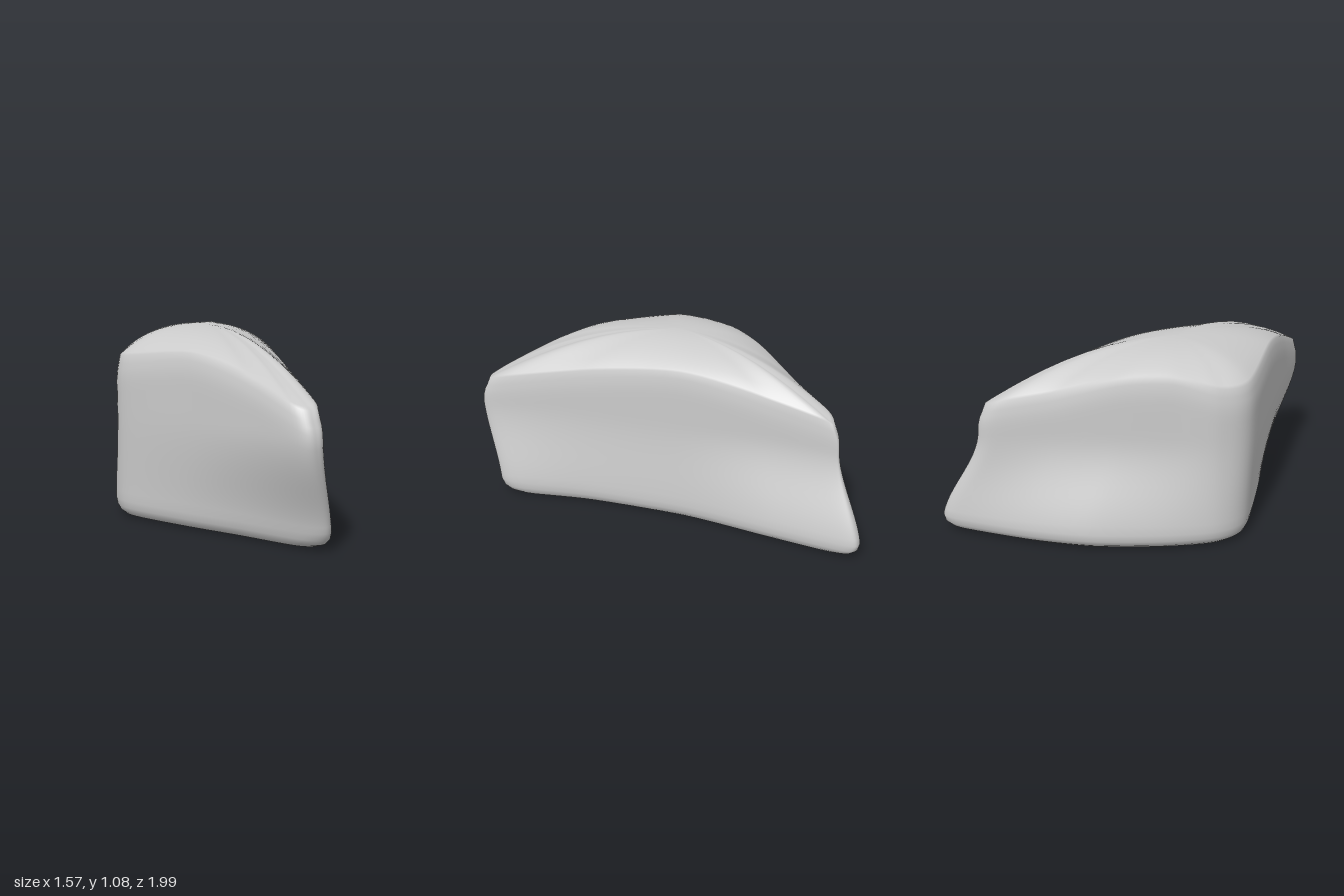
import * as THREE from 'three';

// Outline of the boulder: [foot x, foot z, shoulder x, shoulder z, shoulder height]
const OUTLINE = [
  [-0.60, -1.00, -0.60, -0.765, 0.75], // back corner
  [-0.66, -0.92, -0.64, -0.68, 0.78],
  [-0.75, -0.50, -0.64, -0.35, 0.85], // concave side
  [-0.78, -0.15, -0.645, 0.00, 0.95],
  [-0.74, 0.25, -0.64, 0.30, 0.97],
  [-0.66, 0.56, -0.625, 0.55, 0.90], // blunt front corner
  [-0.51, 0.71, -0.50, 0.72, 0.90],
  [-0.10, 0.775, 0.00, 0.835, 0.96], // front face
  [0.30, 0.81, 0.38, 0.92, 0.87],
  [0.66, 0.85, 0.69, 1.00, 0.74], // sharp front corner
  [0.775, 0.81, 0.775, 0.975, 0.72],
  [0.74, 0.71, 0.765, 0.88, 0.74],
  [0.42, 0.40, 0.40, 0.46, 0.86], // long slanted face
  [0.00, -0.11, 0.00, -0.03, 0.95],
  [-0.30, -0.59, -0.33, -0.42, 0.85],
  [-0.53, -0.95, -0.55, -0.72, 0.77],
];
const SIDES = 112;
const CENTRE = { x: -0.22, z: 0.28 };
const PEAK = 1.075;

const loop = (fn) => new THREE.CatmullRomCurve3(
  OUTLINE.map(fn), true, 'catmullrom', 0.4);

function boulderGeometry() {
  const foot = loop(([x, z]) => new THREE.Vector3(x, 0, z)).getPoints(SIDES);
  const shoulder = loop(([, , x, z, y]) => new THREE.Vector3(x, y, z)).getPoints(SIDES);
  const positions = [];
  const index = [];
  let rows = 0;

  // Adds one ring at a given inset towards the centre; height depends on the shoulder.
  // Heights are evened out along the ring, more so near the centre.
  const ring = (inset, height) => {
    let ys = shoulder.slice(0, SIDES).map((p) => height(p.y));
    for (let pass = 0; pass < inset * 40; pass++)
      ys = ys.map((y, i) => (ys.at(i - 1) + y + ys[(i + 1) % SIDES]) / 3);
    ys.forEach((y, i) => {
      const p = foot[i].clone().lerp(shoulder[i], THREE.MathUtils.smoothstep(y, 0.03, 0.62));
      positions.push(
        THREE.MathUtils.lerp(p.x, CENTRE.x, inset), y,
        THREE.MathUtils.lerp(p.z, CENTRE.z, inset));
    });
    rows++;
  };

  // Flat underside and rounded foot
  for (const [y, inset] of [[0, 1], [0, 0.5], [0, 0.14], [0.01, 0.085], [0.03, 0.04], [0.06, 0.012]])
    ring(inset, () => y);
  // Walls
  for (let j = 0; j <= 14; j++)
    ring(0, (rim) => 0.1 + (rim - 0.23) * j / 14);
  // Rounded shoulder
  for (const [drop, inset] of [[0.09, 0.004], [0.055, 0.012], [0.025, 0.024]])
    ring(inset, (rim) => rim - drop);
  // Domed top, fuller above the high shoulders than above the low corners
  for (const t of [0.042, 0.07, 0.1, 0.14, 0.2, 0.3, 0.4, 0.5, 0.6, 0.7, 0.8, 0.9, 1])
    ring(t, (rim) => {
      const fullness = THREE.MathUtils.lerp(1.8 + Math.max(0, rim - 0.75) * 7, 2.2, t);
      return rim + (PEAK - rim) * (1 - (1 - t) ** fullness);
    });

  for (let r = 0; r < rows - 1; r++) {
    for (let i = 0; i < SIDES; i++) {
      const a = r * SIDES + i;
      const b = r * SIDES + (i + 1) % SIDES;
      // Single triangles at the two poles, quads elsewhere
      if (r > 0) index.push(a, b, b + SIDES);
      else index.push(a, b + SIDES, a + SIDES);
      if (r > 0 && r < rows - 2) index.push(a, b + SIDES, a + SIDES);
    }
  }
  const geometry = new THREE.BufferGeometry();
  geometry.setAttribute('position', new THREE.Float32BufferAttribute(positions, 3));
  geometry.setIndex(index);
  geometry.computeVertexNormals();
  return geometry;
}

export function createModel() {
  const group = new THREE.Group();
  group.name = 'rock';
  const boulder = new THREE.Mesh(
    boulderGeometry(), new THREE.MeshStandardMaterial({ color: 0xcccccc }));
  boulder.name = 'boulder';
  group.add(boulder);
  return group;
}
